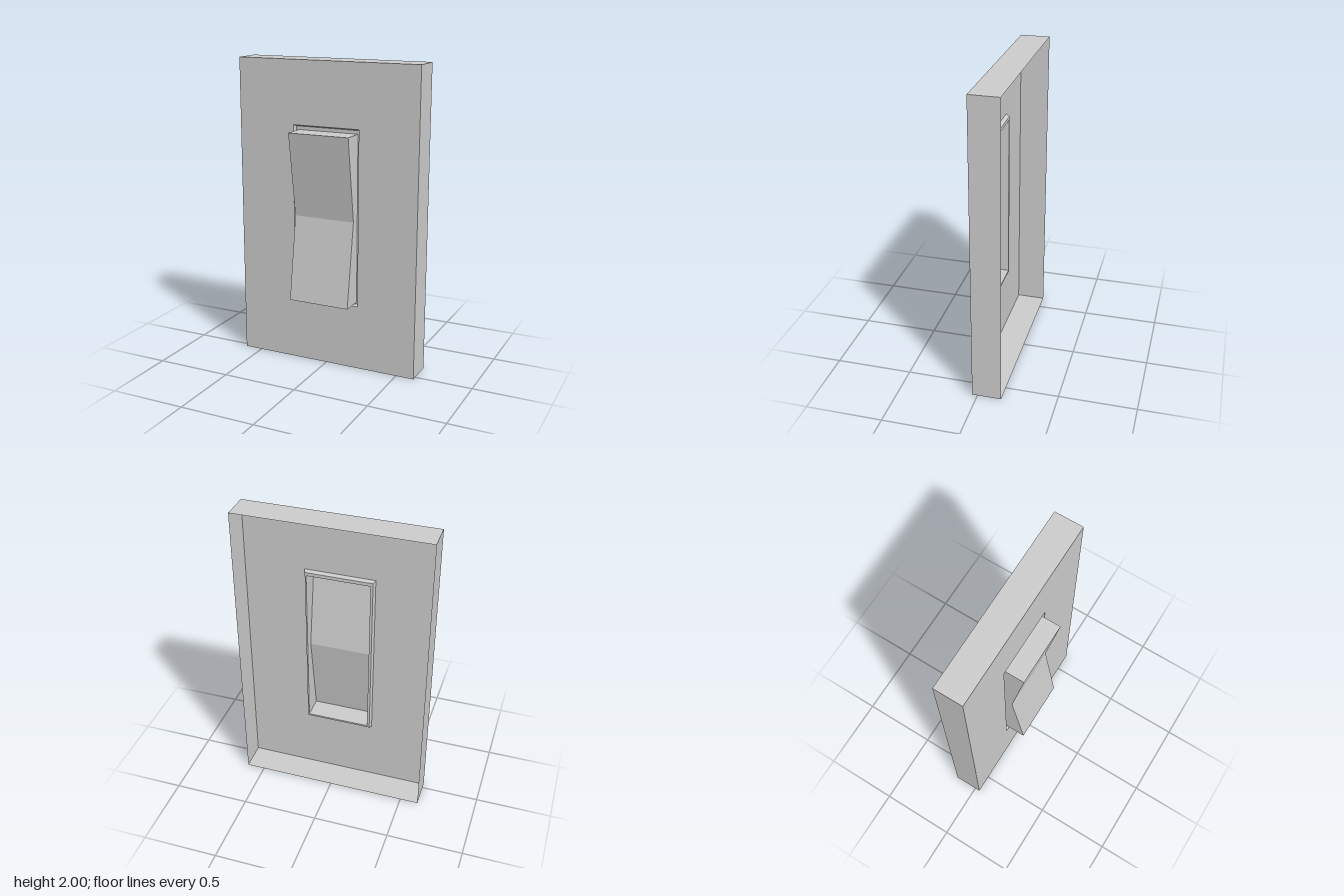
import * as THREE from 'three';

const FRONT = 0.035, BACK = -0.155, GROOVE = 0.01;
const material = new THREE.MeshStandardMaterial({
  color: 0xcccccc, flatShading: true, side: THREE.DoubleSide,
});

// Rectangle of four corners, counter-clockwise seen from the front
const rect = (x0, x1, y0, y1, z) => [[x0, y0, z], [x1, y0, z], [x1, y1, z], [x0, y1, z]];

// Flat quads joining successive closed loops
function loft(name, loops) {
  const pos = [];
  for (let k = 0; k < loops.length - 1; k++) {
    const a = loops[k], b = loops[k + 1], n = a.length;
    for (let i = 0; i < n; i++) {
      const j = (i + 1) % n;
      pos.push(...a[i], ...b[i], ...b[j], ...a[i], ...b[j], ...a[j]);
    }
  }
  return makeMesh(name, pos);
}

function makeMesh(name, pos) {
  const geo = new THREE.BufferGeometry();
  geo.setAttribute('position', new THREE.Float32BufferAttribute(pos, 3));
  geo.computeVertexNormals();
  const mesh = new THREE.Mesh(geo, material);
  mesh.name = name;
  return mesh;
}

// Open-backed rocker: V-shaped front, straight sides and ends
function makeRocker(x0, x1, y0, y1) {
  const mid = (y0 + y1) / 2;
  const profile = [[y0, GROOVE], [y0, 0.155], [mid, 0.068], [y1, 0.155], [y1, GROOVE]];
  const pos = [];
  for (let i = 0; i < profile.length - 1; i++) {
    const [ya, za] = profile[i], [yb, zb] = profile[i + 1];
    pos.push(x0, ya, za, x1, ya, za, x1, yb, zb, x0, ya, za, x1, yb, zb, x0, yb, zb);
  }
  // Side cheeks: two quads each, meeting at the valley
  for (const [x, flip] of [[x1, false], [x0, true]]) {
    for (const [a, b, za, zb] of [[y0, mid, 0.155, 0.068], [mid, y1, 0.068, 0.155]]) {
      const q = [[x, a, GROOVE], [x, b, GROOVE], [x, b, zb], [x, a, za]];
      if (flip) q.reverse();
      for (const i of [0, 1, 2, 0, 2, 3]) pos.push(...q[i]);
    }
  }
  return makeMesh('rocker', pos);
}

export function createModel() {
  const group = new THREE.Group();
  group.name = 'wallSwitch';

  const base = rect(-0.206, 0.206, 0.45, 1.555, GROOVE);
  const floor = rect(-0.222, 0.215, 0.438, 1.578, GROOVE);
  const rim = rect(-0.232, 0.223, 0.43, 1.588, FRONT);
  const plateFront = rect(-0.62, 0.62, 0, 2, FRONT);
  const plateBack = rect(-0.62, 0.62, 0, 2, BACK);

  group.add(
    loft('coverPlate', [rim, plateFront, plateBack]), // face and side walls, open back
    loft('grooveAroundRocker', [base, floor, rim]),
    makeRocker(-0.206, 0.206, 0.45, 1.555),
  );
  return group;
}
